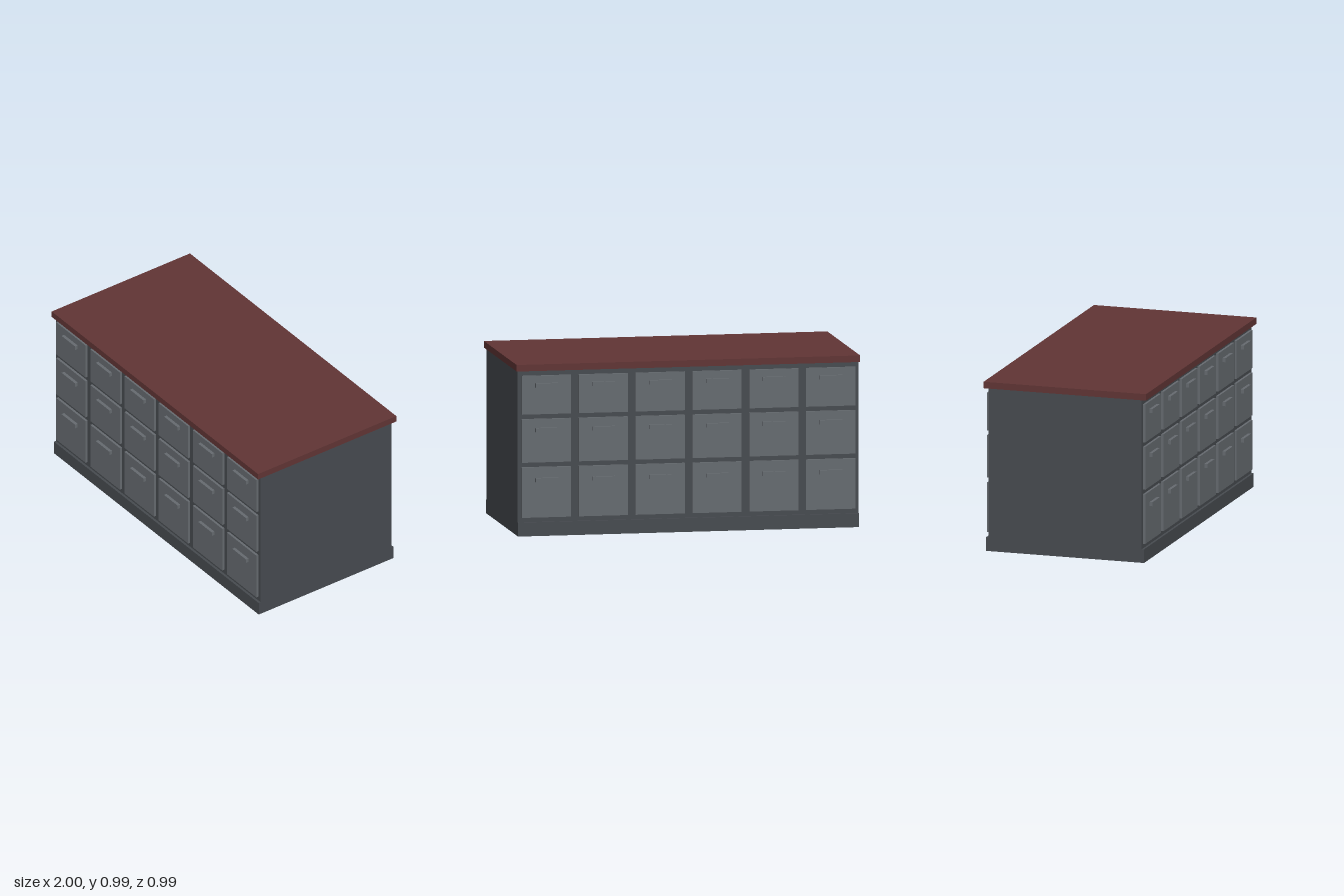
import * as THREE from 'three';

const mat = (name, color) => {
  const m = new THREE.MeshStandardMaterial({ color });
  m.name = name;
  return m;
};

export function createModel() {
  const group = new THREE.Group();
  group.name = 'drawerCabinet';
  const frame = mat('dark slate', 0x474b50);
  const panel = mat('grey', 0x666b70);
  const wood = mat('dark red wood', 0x613535);

  // Box given by its lower and upper corners
  const box = (name, material, [x0, y0, z0], [x1, y1, z1], parent = group) => {
    const mesh = new THREE.Mesh(new THREE.BoxGeometry(x1 - x0, y1 - y0, z1 - z0), material);
    mesh.position.set((x0 + x1) / 2, (y0 + y1) / 2, (z0 + z1) / 2);
    mesh.name = name;
    parent.add(mesh);
  };

  // Carcass, plinth and worktop
  const cx = -0.004, half = 0.993;
  box('carcass', frame, [cx - half, 0.08, -0.462], [cx + half, 0.955, 0.462]);
  box('plinth', frame, [cx - half, 0, -0.476], [cx + half, 0.08, 0.476]);
  box('worktop', wood, [-1, 0.955, -0.489], [1, 0.993, 0.489]);

  // Rows: bottom, top and handle centre heights
  const rows = [[0.107, 0.398, 0.324], [0.425, 0.676, 0.613], [0.703, 0.926, 0.871]];
  const drawerHalf = 0.143, handleHalf = 0.066, handleThick = 0.012;

  // Six columns of drawers on both the front and the back
  for (const side of [1, -1]) {
    const bank = new THREE.Group();
    bank.name = side > 0 ? 'frontDrawers' : 'backDrawers';
    group.add(bank);
    const span = (a, b) => (side > 0 ? [a, b] : [-b, -a]);
    const [d0, d1] = span(0.462, 0.476);
    const [h0, h1] = span(0.476, 0.494);
    for (let i = 0; i < 6; i++) {
      const x = cx + (i - 2.5) * 0.331;
      for (const [y0, y1, hy] of rows) {
        box('drawerFront', panel, [x - drawerHalf, y0, d0], [x + drawerHalf, y1, d1], bank);
        box('handle', panel, [x - handleHalf, hy - handleThick, h0], [x + handleHalf, hy + handleThick, h1], bank);
      }
    }
  }
  return group;
}
